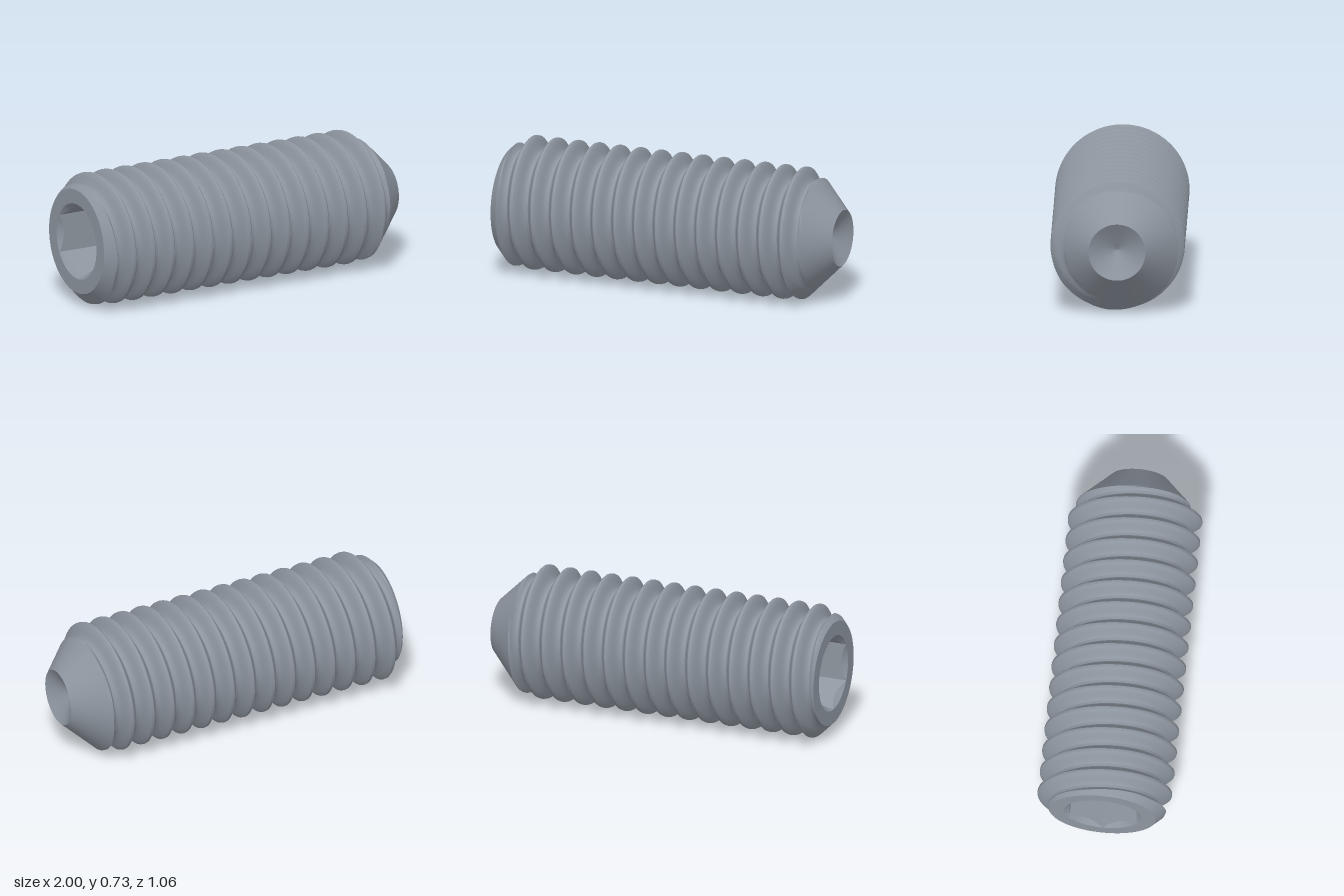
import * as THREE from 'three';
import { toCreasedNormals } from 'three/addons/utils/BufferGeometryUtils.js';

const SEG = 96;                       // steps around the axis
const PITCH = 0.122, ROWS = 16;       // thread pitch and rows per turn
const BACK = -0.96, TIP = 0.99;       // end planes along the axis
const CREST = 0.365, ROOT = 0.29;     // thread radii
const TIP_R = 0.155, SOCKET_R = 0.21, SOCKET_DEPTH = 0.48;
const CREST_START = -0.839;           // a crest on the upper side

// Skin between successive loops; at(row, angle, column) gives [axial, radius]
function skin(rows, at, crease = 0.6) {
  const point = (j, i) => {
    const a = (i / SEG) * Math.PI * 2;
    const [s, r] = at(j, a, i);
    return new THREE.Vector3(s, r * Math.cos(a), r * Math.sin(a));
  };
  const pos = [];
  const tri = (a, b, c) => {
    const area = b.clone().sub(a).cross(c.clone().sub(a)).length();
    if (area > 1e-9) for (const p of [a, b, c]) pos.push(p.x, p.y, p.z);
  };
  for (let j = 0; j < rows - 1; j++) {
    for (let i = 0; i < SEG; i++) {
      const a = point(j, i), b = point(j, i + 1);
      const c = point(j + 1, i + 1), d = point(j + 1, i);
      tri(a, b, c);
      tri(a, c, d);
    }
  }
  const geo = new THREE.BufferGeometry();
  geo.setAttribute('position', new THREE.Float32BufferAttribute(pos, 3));
  return toCreasedNormals(geo, crease);
}

// Rounded thread radius, trimmed by the back chamfer and the front cone
function bodyRadius(s, phase) {
  const d = Math.abs(phase - Math.round(phase));
  const thread = CREST - (CREST - ROOT) * THREE.MathUtils.smoothstep(d, 0.03, 0.45);
  return Math.min(thread, ROOT + (s - BACK), TIP_R + (TIP - s));
}

// Radius of a hexagon with a corner straight up
function hexRadius(a) {
  const step = Math.PI / 3;
  const local = ((a % step) + step) % step - step / 2;
  return SOCKET_R * Math.cos(step / 2) / Math.cos(local);
}

export function createModel() {
  const steel = new THREE.MeshStandardMaterial({ color: 0x8d959f });
  steel.name = 'steel grey';
  const screw = new THREE.Group();
  screw.name = 'setScrew';
  const add = (name, geo) => {
    const mesh = new THREE.Mesh(geo, steel);
    mesh.name = name;
    screw.add(mesh);
  };

  // Threaded body: rows follow the right-handed helix, clamped at both ends
  const first = -3 * ROWS, count = 20 * ROWS;
  add('threadedBody', skin(count, (j, a) => {
    const turn = a / (Math.PI * 2);
    const raw = CREST_START + PITCH * ((first + j) / ROWS + turn);
    const s = THREE.MathUtils.clamp(raw, BACK, TIP);
    return [s, bodyRadius(s, (s - CREST_START) / PITCH - turn)];
  }));

  // Conical hollow in the pointed end
  add('cupPoint', skin(2, (j) => (j === 0 ? [TIP, TIP_R] : [TIP - 0.09, 0])));

  // Flat rim of the back end
  add('endFace', skin(2, (j) => [BACK, j === 0 ? SOCKET_R : ROOT]));

  // Hexagonal socket: floor, walls, then countersunk mouth
  add('hexSocket', skin(4, (j, a) => {
    const r = hexRadius(a);
    if (j === 0) return [BACK + SOCKET_DEPTH + 0.06, 0];
    if (j === 1) return [BACK + SOCKET_DEPTH, r];
    if (j === 2) return [BACK + (SOCKET_R - r), r];
    return [BACK, SOCKET_R];
  }, 0.4));

  // Lay the screw down, slightly turned
  screw.rotation.y = -THREE.MathUtils.degToRad(12);
  screw.position.set(-0.001, CREST, 0.006);

  const model = new THREE.Group();
  model.name = 'model';
  model.add(screw);
  return model;
}
